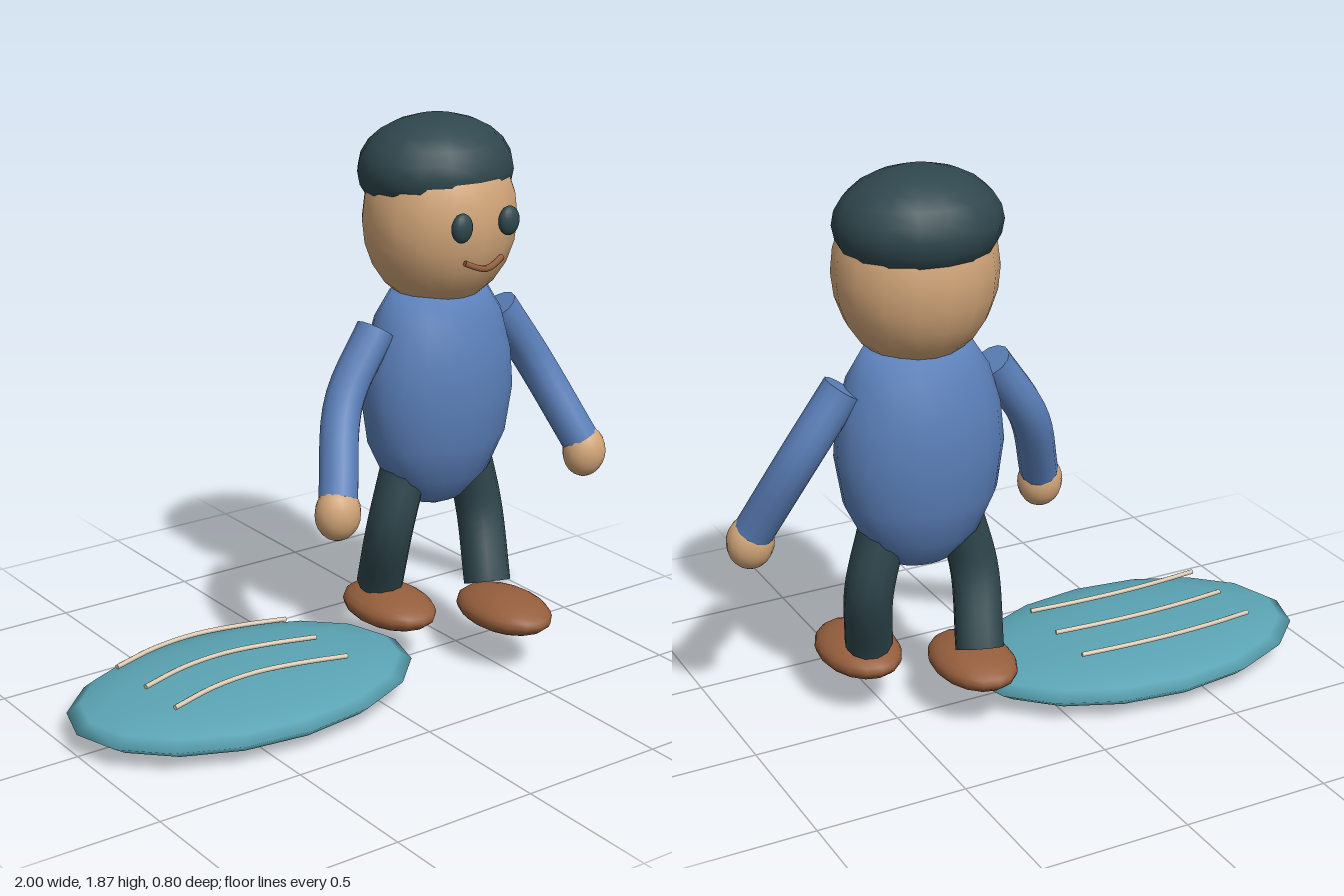
import * as THREE from 'three';

const mat = (name, color) => {
  const m = new THREE.MeshStandardMaterial({ color });
  m.name = name;
  return m;
};

export function createModel() {
  const model = new THREE.Group();
  const slate = mat('dark slate', 0x2f474d);
  const skin = mat('skin', 0xd2a679);
  const blue = mat('shirt blue', 0x5b80ba);
  const teal = mat('board teal', 0x5ba4b4);
  const brown = mat('shoe brown', 0x965f3d);
  const cream = mat('stripe cream', 0xe0cfb8);

  const add = (name, geometry, material, parent = model) => {
    const mesh = new THREE.Mesh(geometry, material);
    mesh.name = name;
    parent.add(mesh);
    return mesh;
  };
  const ellipsoid = (name, material, pos, radii, parent, w = 16, h = 12) => {
    const mesh = add(name, new THREE.SphereGeometry(1, w, h), material, parent);
    mesh.position.set(...pos);
    mesh.scale.set(...radii);
    return mesh;
  };
  // Curved rod with flat ends
  const rod = (name, material, points, radius, parent, steps = 12, sides = 12) => {
    const curve = new THREE.CatmullRomCurve3(points.map(p => new THREE.Vector3(...p)));
    const group = new THREE.Group();
    group.name = name;
    (parent || model).add(group);
    add(name + 'Tube', new THREE.TubeGeometry(curve, steps, radius, sides), material, group);
    for (const t of [0, 1]) {
      const cap = add(name + 'Cap', new THREE.CircleGeometry(radius, sides), material, group);
      const out = curve.getTangent(t).multiplyScalar(t ? 1 : -1);
      cap.position.copy(curve.getPoint(t));
      cap.quaternion.setFromUnitVectors(new THREE.Vector3(0, 0, 1), out);
    }
  };

  // Board lying beside the figure, with three curved stripes above it
  ellipsoid('board', teal, [-0.382, 0.075, 0], [0.618, 0.075, 0.402], model, 16, 8);
  for (const z of [-0.18, 0, 0.18]) {
    rod('boardStripe', cream, [[-0.75, 0.17, z], [-0.59, 0.182, z - 0.033],
      [-0.43, 0.185, z - 0.043], [-0.26, 0.179, z - 0.028], [-0.095, 0.17, z]], 0.009, model, 16, 6);
  }

  // Figure, built around x = 0 and then moved to its place
  const figure = new THREE.Group();
  figure.name = 'figure';
  figure.position.x = 0.4;
  model.add(figure);

  // Shirt
  const profile = [[0, 0.54], [0.1, 0.572], [0.195, 0.66], [0.258, 0.79], [0.283, 0.95],
    [0.272, 1.08], [0.235, 1.21], [0.178, 1.3], [0, 1.305]].map(p => new THREE.Vector2(...p));
  add('shirt', new THREE.LatheGeometry(profile, 20), blue, figure).scale.z = 0.7;

  // Head, cap and face
  ellipsoid('head', skin, [0, 1.54, 0], [0.265, 0.3, 0.24], figure);
  ellipsoid('cap', slate, [0, 1.695, -0.025], [0.268, 0.175, 0.237], figure);
  rod('mouth', brown, [[-0.075, 1.437, 0.23], [-0.03, 1.418, 0.241], [0, 1.412, 0.244],
    [0.03, 1.418, 0.241], [0.075, 1.437, 0.23]], 0.011, figure, 10, 6);

  for (const s of [-1, 1]) {
    const side = s > 0 ? 'left' : 'right';
    ellipsoid(side + 'Eye', slate, [s * 0.095, 1.555, 0.238], [0.039, 0.048, 0.025], figure);

    // Arm and hand
    rod(side + 'Arm', blue, [[s * 0.255, 1.195, 0], [s * 0.4, 0.98, 0.025], [s * 0.51, 0.71, 0.15]],
      0.065, figure);
    ellipsoid(side + 'Hand', skin, [s * 0.52, 0.668, 0.163], [0.078, 0.09, 0.07], figure);

    // Striding legs: left foot forward, right foot back
    const ankle = s > 0 ? 0.105 : -0.11;
    rod(side + 'Leg', slate, [[s * 0.13, 0.71, 0], [s * 0.183, 0.49, s > 0 ? 0.01 : -0.01],
      [s * 0.15, 0.25, ankle]], 0.08, figure);
    ellipsoid(side + 'Shoe', brown, [s * 0.149, 0.182, s > 0 ? 0.198 : -0.057],
      [0.134, 0.064, 0.2], figure);
  }
  return model;
}
